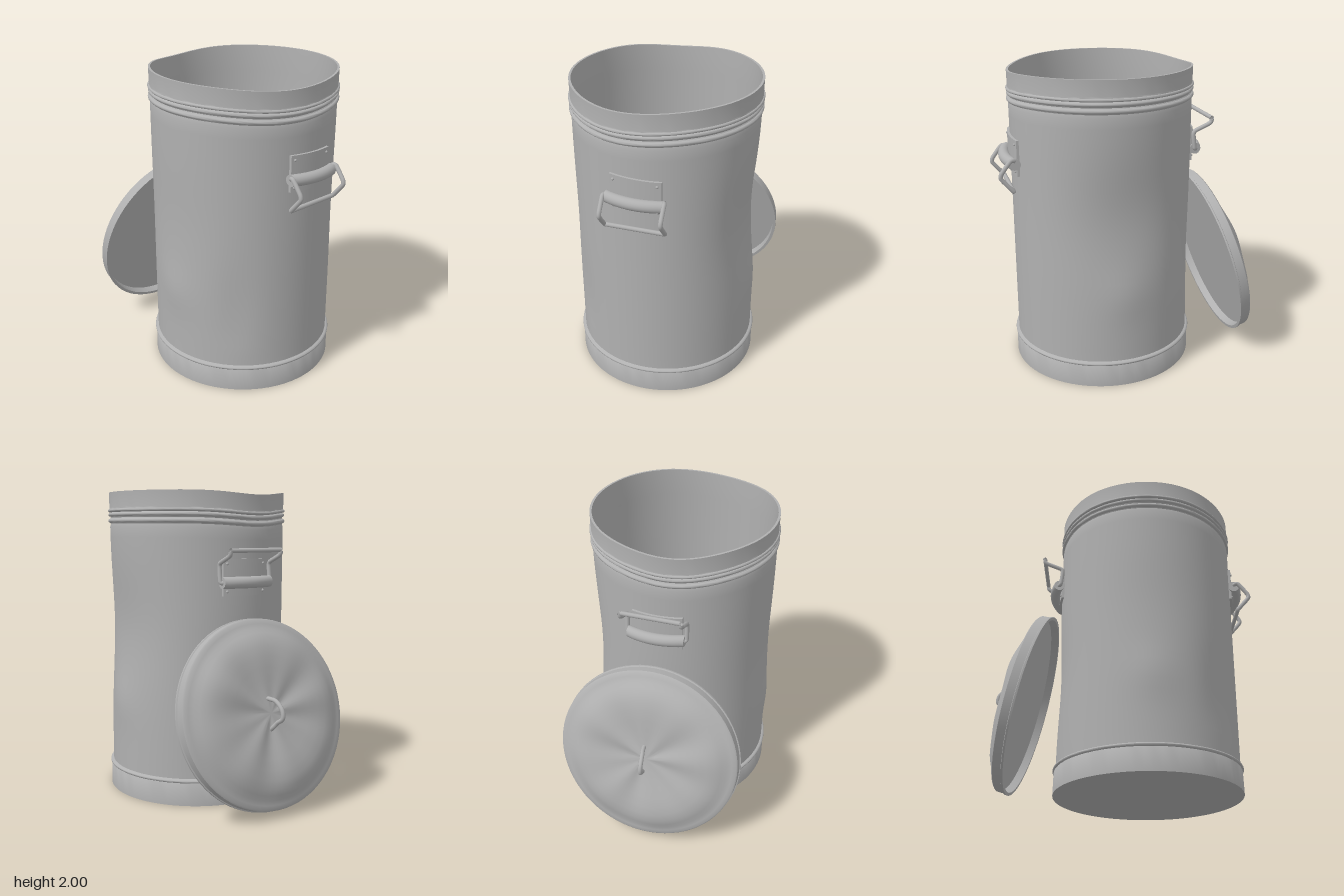
import * as THREE from 'three';
import { toCreasedNormals } from 'three/addons/utils/BufferGeometryUtils.js';

const metal = new THREE.MeshStandardMaterial({ color: 0xb0b0b0 });
metal.name = 'galvanised grey';

const CENTRE_X = 0.145;
const WALL = 0.588;

function part(name, geometry) {
  const mesh = new THREE.Mesh(geometry, metal);
  mesh.name = name;
  return mesh;
}

// Move every vertex by a rule that edits the vector in place
function reshape(geometry, rule) {
  const p = geometry.attributes.position;
  const v = new THREE.Vector3();
  for (let i = 0; i < p.count; i++) {
    rule(v.fromBufferAttribute(p, i));
    p.setXYZ(i, v.x, v.y, v.z);
  }
  return geometry;
}

const lathe = (points, segments) =>
  new THREE.LatheGeometry(points.map(([r, y]) => new THREE.Vector2(r, y)), segments);

// Soft bump around an angle
function lobe(angle, centre, width) {
  const d = Math.atan2(Math.sin(angle - centre), Math.cos(angle - centre));
  return Math.exp(-((d / width) ** 2));
}

// Half-round bead bulging from a wall of radius r
function bead(r, y, size) {
  const pts = [];
  for (let i = 0; i <= 6; i++) {
    const a = -Math.PI / 2 + (Math.PI * i) / 6;
    pts.push([r + Math.cos(a) * size, y + Math.sin(a) * size]);
  }
  return pts;
}

// Dents: [angle from +z, height, angular width, vertical width, depth]
const dents = [
  [Math.PI, 1.12, 0.6, 0.38, 0.045],
  [Math.PI, 0.62, 0.25, 0.15, -0.012],
  [-Math.PI / 2, 0.75, 0.5, 0.3, 0.016],
  [0, 0.62, 0.25, 0.15, -0.014],
  [0, 1.1, 0.5, 0.3, 0.01],
  [0.75, 0.55, 0.2, 0.3, 0.012],
];

function dentWall(v) {
  const r = Math.hypot(v.x, v.z);
  if (r < 0.3) return;
  const a = Math.atan2(v.x, v.z);
  let push = 0;
  for (const [angle, y, w, h, depth] of dents) {
    push += depth * lobe(a, angle, w) * Math.exp(-(((v.y - y) / h) ** 2));
  }
  push *= THREE.MathUtils.smoothstep(v.y, 0.17, 0.4);
  v.x *= (r - push) / r;
  v.z *= (r - push) / r;
  // Sagging rim
  const sag = 0.03 * lobe(a, 1.3, 0.65) + 0.026 * lobe(a, -1.4, 0.45);
  v.y -= sag * THREE.MathUtils.smoothstep(v.y, 1.3, 1.97);
}

function makeBin() {
  const profile = [[0, 0], [0.603, 0], [0.6, 0.145], ...bead(0.597, 0.16, 0.011), [WALL, 0.175]];
  for (let i = 1; i <= 24; i++) profile.push([WALL, 0.175 + (1.6 * i) / 24]);
  profile.push(
    [0.583, 1.795], ...bead(0.586, 1.815, 0.014), [0.582, 1.835],
    ...bead(0.586, 1.855, 0.012), [0.583, 1.87], ...bead(0.591, 1.882, 0.01),
    [0.59, 1.9], [0.592, 2.0], [0.578, 2.0]
  );
  // Inner wall and floor
  for (let i = 0; i <= 24; i++) profile.push([0.574, 1.9 - (1.88 * i) / 24]);
  profile.push([0, 0.02]);
  const geometry = reshape(lathe(profile, 72), dentWall);
  return part('binBody', toCreasedNormals(geometry, 0.7));
}

// Carrying handle facing +x; bail is a side profile of [distance, height]
function makeHandle(name, pivotY, bail, tilt) {
  const group = new THREE.Group();
  group.name = name;

  // Curved backing plate with rivets
  const onWall = (z, lift) => Math.sqrt((WALL + lift) ** 2 - z * z);
  const plate = new THREE.BoxGeometry(0.016, 0.23, 0.32, 1, 1, 10);
  reshape(plate, (v) => {
    v.y += 1.462 + v.z * tilt;
    v.x = onWall(v.z, 0.008 + v.x);
  });
  group.add(part('plate', toCreasedNormals(plate, 0.7)));
  for (const z of [-0.135, 0.135]) {
    for (const y of [1.375, 1.548]) {
      const rivet = part('rivet', new THREE.SphereGeometry(0.009, 10, 8));
      rivet.position.set(onWall(z, 0.016), y + z * tilt, z);
      group.add(rivet);
    }
  }

  // Bowed sleeve holding the bail
  const sleeve = new THREE.CylinderGeometry(0.037, 0.037, 0.36, 20, 14).rotateX(Math.PI / 2);
  reshape(sleeve, (v) => {
    v.x += 0.598 + 0.035 * (1 - (v.z / 0.18) ** 2);
    v.y += 1.432 + v.z * tilt;
  });
  group.add(part('sleeve', toCreasedNormals(sleeve, 0.7)));

  // Wire bail: two side arms joined by a cross bar
  const half = 0.188;
  const arm = (s) => bail.map(([d, y]) => new THREE.Vector3(d, y, s * half));
  const [endD, endY] = bail[bail.length - 1];
  const path = [
    new THREE.Vector3(0.61, pivotY, 0.14),
    new THREE.Vector3(0.6, pivotY, 0.178),
    ...arm(1),
    new THREE.Vector3(endD, endY, 0.165),
    new THREE.Vector3(endD, endY, -0.165),
    ...arm(-1).reverse(),
    new THREE.Vector3(0.6, pivotY, -0.178),
    new THREE.Vector3(0.61, pivotY, -0.14),
  ];
  const curve = new THREE.CatmullRomCurve3(path, false, 'catmullrom', 0.3);
  group.add(part('bail', new THREE.TubeGeometry(curve, 120, 0.014, 10)));
  group.position.x = CENTRE_X;
  return group;
}

function makeLid() {
  const lid = new THREE.Group();
  lid.name = 'lid';

  // Rim, dome and flat underside
  const profile = [
    [0, 0.05], [0.575, 0.05], [0.583, 0], [0.603, 0], [0.603, 0.012], [0.596, 0.016],
    [0.594, 0.07], [0.585, 0.078], [0.56, 0.083], [0.53, 0.095], [0.5, 0.113],
    [0.46, 0.132], [0.41, 0.143], [0.35, 0.147], [0.28, 0.143], [0.21, 0.136],
    [0.14, 0.13], [0.07, 0.126], [0, 0.125],
  ];
  const shell = reshape(lathe(profile, 72), (v) => {
    if (v.y < 0.08) return;
    const r = Math.hypot(v.x, v.z);
    const a = Math.atan2(v.x, v.z);
    const fade = Math.sin(Math.PI * Math.min(1, r / 0.58));
    v.y += fade * (0.006 * Math.sin(5 * a + 1) + 0.005 * Math.sin(8 * a) - 0.006);
  });
  lid.add(part('lidShell', toCreasedNormals(shell, 0.7)));

  // Bent wire grip
  const grip = new THREE.CatmullRomCurve3([
    [0.095, 0.11, -0.01], [0.085, 0.15, -0.008], [0.068, 0.19, 0], [0.01, 0.232, 0.006],
    [-0.04, 0.226, 0.006], [-0.064, 0.17, 0], [-0.085, 0.14, -0.008], [-0.1, 0.11, -0.01],
  ].map((p) => new THREE.Vector3(...p)));
  lid.add(part('lidGrip', new THREE.TubeGeometry(grip, 48, 0.014, 10)));

  // Leaning against the bin
  lid.position.set(-0.61, 0.615, 0);
  lid.rotation.z = 1.32;
  return lid;
}

export function createModel() {
  const model = new THREE.Group();
  model.name = 'dustbin';

  const bin = makeBin();
  bin.position.x = CENTRE_X;
  model.add(bin);

  // Left handle hangs down, right handle is flipped up
  model.add(makeHandle('leftHandle', 1.45,
    [[0.625, 1.455], [0.685, 1.378], [0.692, 1.35], [0.675, 1.325], [0.615, 1.255]], 0.04));
  const raised = makeHandle('rightHandle', 1.43,
    [[0.59, 1.44], [0.58, 1.53], [0.592, 1.555], [0.685, 1.595], [0.702, 1.61], [0.705, 1.632]], 0);
  raised.rotation.y = Math.PI;
  model.add(raised);

  model.add(makeLid());
  return model;
}
